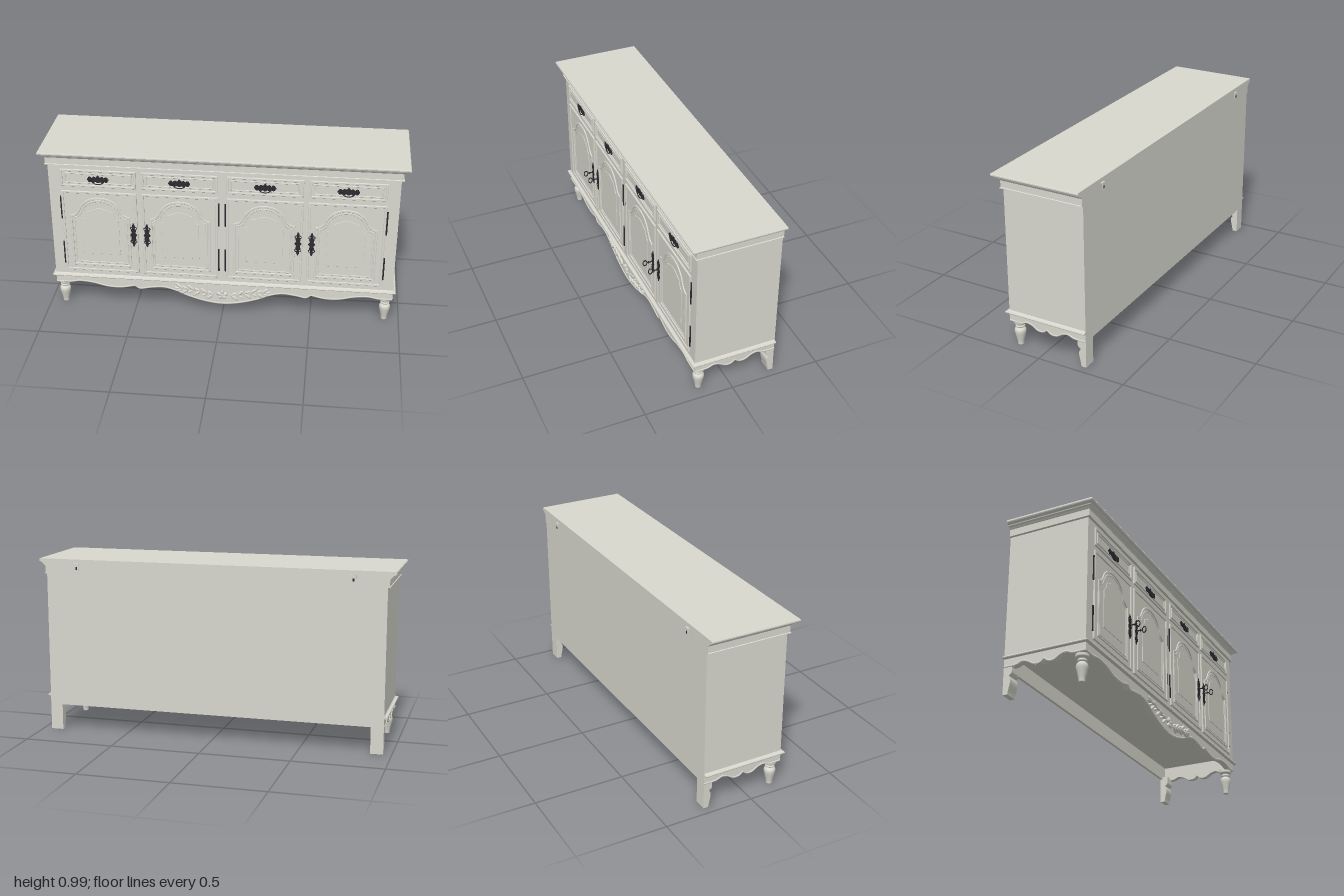
import * as THREE from 'three';

const paint = new THREE.MeshStandardMaterial({ color: 0xd8d8cf });
paint.name = 'greyPaint';
const iron = new THREE.MeshStandardMaterial({ color: 0x2b2b31 });
iron.name = 'darkIron';

const HALF = 0.955, FRONT = 0.202, BACK = -0.26, FLOOR = 0.23, BOARD = 0.03;

function add(parent, name, geo, mat, x = 0, y = 0, z = 0) {
  const m = new THREE.Mesh(geo, mat);
  m.name = name;
  m.position.set(x, y, z);
  parent.add(m);
  return m;
}

const box = (w, h, d) => new THREE.BoxGeometry(w, h, d);

// Stacked rectangles flush at the back; levels are [overhang, y] from bottom to top
function moulding(levels, capped) {
  const loops = levels.map(([o, y]) => [
    [-HALF - o, y, BACK], [-HALF - o, y, FRONT + o], [HALF + o, y, FRONT + o], [HALF + o, y, BACK]]);
  const pos = [];
  const quad = (a, b, c, d) => pos.push(...a, ...b, ...c, ...a, ...c, ...d);
  for (let l = 0; l < loops.length - 1; l++) {
    for (let i = 0; i < 4; i++) {
      const j = (i + 1) % 4;
      quad(loops[l][i], loops[l][j], loops[l + 1][j], loops[l + 1][i]);
    }
  }
  if (capped) {
    quad(...loops[loops.length - 1]);
    quad(...[...loops[0]].reverse());
  }
  const g = new THREE.BufferGeometry();
  g.setAttribute('position', new THREE.Float32BufferAttribute(pos, 3));
  g.computeVertexNormals();
  return g;
}

const extrude = (shape, depth, bevel = 0) => new THREE.ExtrudeGeometry(shape, {
  depth, curveSegments: 10, bevelEnabled: bevel > 0,
  bevelSize: bevel, bevelThickness: bevel, bevelOffset: -bevel, bevelSegments: 1 });

function rect(hw, y0, y1) {
  return new THREE.Shape([[-hw, y0], [hw, y0], [hw, y1], [-hw, y1]].map(p => new THREE.Vector2(...p)));
}

// Panel outline with shoulders and a raised ogee arch
function arch(hw, yb, ys, yt) {
  const s = new THREE.Shape();
  s.moveTo(-hw, yb);
  s.lineTo(hw, yb);
  s.lineTo(hw, ys);
  s.bezierCurveTo(hw * 0.82, ys + 0.006, hw * 0.76, ys + 0.02, hw * 0.68, ys + 0.05);
  s.bezierCurveTo(hw * 0.56, yt - 0.025, hw * 0.32, yt, 0, yt);
  s.bezierCurveTo(-hw * 0.32, yt, -hw * 0.56, yt - 0.025, -hw * 0.68, ys + 0.05);
  s.bezierCurveTo(-hw * 0.76, ys + 0.02, -hw * 0.82, ys + 0.006, -hw, ys);
  s.closePath();
  return s;
}

function ring(outer, inner, depth, bevel = 0.002) {
  outer.holes.push(inner);
  return extrude(outer, depth, bevel);
}

// Pointed ornamental plate with a rippled edge, along x
function scallop(len, wide) {
  const pts = [], n = 36;
  const half = t => wide * (1 - 0.75 * Math.abs(t)) * (0.8 + 0.2 * Math.cos(t * Math.PI * 5));
  for (let i = 0; i <= n; i++) { const t = i / n * 2 - 1; pts.push(new THREE.Vector2(t * len, -half(t))); }
  for (let i = n; i >= 0; i--) { const t = i / n * 2 - 1; pts.push(new THREE.Vector2(t * len, half(t))); }
  return extrude(new THREE.Shape(pts), 0.003);
}

// Board with a wavy lower edge, reaching up inside to the floor
function apron(pts) {
  const s = new THREE.Shape([...pts, new THREE.Vector2(pts[pts.length - 1].x, FLOOR), new THREE.Vector2(pts[0].x, FLOOR)]);
  return extrude(s, BOARD);
}
// Smooth runs that meet in sharp cusps
const wave = runs => runs.flatMap((run, i) => {
  const pts = new THREE.CatmullRomCurve3(run.map(([x, y]) => new THREE.Vector3(x, y, 0))).getPoints(36);
  return i ? pts.slice(1) : pts;
});
const bead = pts => new THREE.TubeGeometry(new THREE.CatmullRomCurve3(pts), 160, 0.005, 6);

function drawer(x) {
  const g = new THREE.Group();
  g.name = 'drawer';
  g.position.set(x, 0, FRONT);
  add(g, 'drawerFront', extrude(rect(0.208, 0.772, 0.875), 0.003), paint);
  add(g, 'drawerOuterBead', ring(rect(0.208, 0.772, 0.875), rect(0.196, 0.784, 0.863), 0.004), paint, 0, 0, 0.003);
  add(g, 'drawerInnerBead', ring(rect(0.186, 0.792, 0.855), rect(0.179, 0.799, 0.848), 0.003, 0.0015), paint, 0, 0, 0.003);
  // Pull with backplate, posts and hanging bail
  add(g, 'pullPlate', scallop(0.06, 0.026), iron, 0, 0.818, 0.003);
  const bail = add(g, 'pullBail', new THREE.TorusGeometry(0.036, 0.0035, 6, 20, Math.PI), iron, 0, 0.82, 0.009);
  bail.rotation.z = Math.PI;
  bail.scale.y = 0.8;
  for (const s of [-1, 1]) {
    add(g, 'pullPost', new THREE.SphereGeometry(0.006, 10, 8), iron, s * 0.036, 0.82, 0.007);
    for (const dy of [-0.007, 0.008]) {
      add(g, 'pullCurl', new THREE.TorusGeometry(0.007, 0.003, 6, 12), iron, s * 0.045, 0.818 + dy, 0.005);
    }
  }
  return g;
}

// side: direction of the lock edge (+1 or -1)
function door(x, side) {
  const g = new THREE.Group();
  g.name = 'door';
  g.position.set(x, 0, FRONT);
  add(g, 'doorSlab', extrude(rect(0.21, 0.238, 0.743), 0.003), paint);
  add(g, 'doorEdgeBead', ring(rect(0.21, 0.238, 0.743), rect(0.197, 0.251, 0.73), 0.004), paint, 0, 0, 0.003);
  add(g, 'archMoulding', ring(arch(0.168, 0.272, 0.592, 0.708), arch(0.156, 0.284, 0.582, 0.695), 0.004), paint, 0, 0, 0.003);
  add(g, 'archInnerBead', ring(arch(0.151, 0.289, 0.578, 0.69), arch(0.142, 0.298, 0.572, 0.68), 0.002, 0.0015), paint, 0, 0, 0.002);
  add(g, 'raisedPanel', extrude(arch(0.104, 0.35, 0.57, 0.64), 0.003, 0.001), paint, 0, 0, 0.002);
  for (const y of [0.637, 0.35]) {
    add(g, 'hinge', new THREE.CylinderGeometry(0.005, 0.005, 0.14, 8), iron, -side * 0.214, y, 0.002);
  }
  // Lock plate and key
  const lx = side * 0.186;
  const plate = add(g, 'lockPlate', scallop(0.072, 0.02), iron, lx, 0.485, 0.007);
  plate.rotation.z = Math.PI / 2;
  for (const dy of [-0.042, 0.042]) for (const s of [-1, 1]) {
    add(g, 'lockCurl', new THREE.TorusGeometry(0.008, 0.0028, 6, 12), iron, lx + s * 0.009, 0.485 + dy, 0.008);
  }
  const shaft = add(g, 'keyShaft', new THREE.CylinderGeometry(0.0035, 0.0035, 0.042, 8), iron, lx, 0.492, 0.023);
  shaft.rotation.x = Math.PI / 2;
  const collar = add(g, 'keyCollar', new THREE.CylinderGeometry(0.006, 0.006, 0.005, 10), iron, lx, 0.492, 0.034);
  collar.rotation.x = Math.PI / 2;
  const bow = add(g, 'keyBow', new THREE.TorusGeometry(0.017, 0.0035, 6, 20), iron, lx, 0.492, 0.055);
  bow.rotation.y = Math.PI / 2;
  bow.scale.x = 0.65;
  return g;
}

function carving() {
  const g = new THREE.Group();
  g.name = 'leafCarving';
  const ball = new THREE.SphereGeometry(1, 10, 8);
  const leaf = (name, x, y, len, wide, a) => {
    const m = add(g, name, ball, paint, x, y, FRONT + 0.004);
    m.scale.set(len, wide, 0.008);
    m.rotation.z = a;
  };
  for (const s of [-1, 1]) {
    const stem = new THREE.CatmullRomCurve3([[0.02, 0.122], [0.08, 0.124], [0.15, 0.143], [0.21, 0.147], [0.26, 0.153]]
      .map(([x, y]) => new THREE.Vector3(s * x, y, FRONT + 0.003)));
    add(g, 'stem', new THREE.TubeGeometry(stem, 24, 0.003, 6), paint);
    for (let i = 0; i < 6; i++) {
      const p = stem.getPoint(0.15 + i * 0.14), up = i % 2 ? 1 : -1;
      leaf('leaf', p.x + s * 0.012, p.y + up * 0.014, 0.028, 0.009, s * up * 0.7);
      leaf('smallLeaf', p.x + s * 0.012, p.y - up * 0.01, 0.021, 0.007, -s * up * 0.5);
    }
    leaf('tipLeaf', s * 0.258, 0.152, 0.018, 0.006, s * 0.2);
  }
  for (let i = 0; i < 5; i++) {
    const a = Math.PI / 2 + i * Math.PI * 0.4;
    leaf('petal', Math.cos(a) * 0.018, 0.122 + Math.sin(a) * 0.018, 0.016, 0.01, a);
  }
  leaf('flowerHeart', 0, 0.122, 0.009, 0.009, 0);
  return g;
}

export function createModel() {
  const root = new THREE.Group();
  root.name = 'sideboard';

  // Carcass and mouldings
  add(root, 'carcass', box(HALF * 2, 0.91 - FLOOR, FRONT - BACK), paint, 0, (0.91 + FLOOR) / 2, (FRONT + BACK) / 2);
  add(root, 'backPanel', box(HALF * 2, FLOOR - 0.147, 0.015), paint, 0, (FLOOR + 0.147) / 2, BACK + 0.0075);
  add(root, 'corniceTop', moulding([[0.014, 0.9], [0.014, 0.905], [0.01, 0.907], [0.01, 0.943], [0.013, 0.946],
    [0.018, 0.953], [0.026, 0.958], [0.028, 0.963], [0.036, 0.966], [0.042, 0.969], [0.045, 0.974], [0.045, 0.98], [0.042, 0.985]], true), paint);
  add(root, 'baseMoulding', moulding([[0, 0.194], [0.015, 0.196], [0.017, 0.2], [0.015, 0.205], [0.004, 0.207], [0, 0.212]], false), paint);

  // Front apron
  const outer = [[-0.955, 0.147], [-0.88, 0.147], [-0.82, 0.157], [-0.74, 0.15], [-0.66, 0.131], [-0.58, 0.129], [-0.5, 0.146]];
  const centre = [[-0.5, 0.146], [-0.475, 0.128], [-0.42, 0.137], [-0.34, 0.146], [-0.27, 0.13], [-0.2, 0.1], [-0.1, 0.07]];
  const mirror = run => run.map(([x, y]) => [-x, y]).reverse();
  const frontLine = wave([outer, [...centre, [0, 0.058], ...mirror(centre)], mirror(outer)]);
  add(root, 'frontApron', apron(frontLine), paint, 0, 0, FRONT - BOARD);
  add(root, 'frontApronBead', bead(frontLine.map(p => new THREE.Vector3(p.x, p.y + 0.005, FRONT))), paint);

  // Side aprons, drawn along -z
  const sideLine = wave([
    [[-0.2, 0.147], [-0.13, 0.148], [-0.095, 0.16], [-0.065, 0.154], [-0.025, 0.132], [0.005, 0.133], [0.029, 0.15]],
    [[0.029, 0.15], [0.052, 0.133], [0.085, 0.132], [0.125, 0.154], [0.155, 0.16], [0.19, 0.148], [0.26, 0.147]]]);
  for (const s of [-1, 1]) {
    const side = add(root, 'sideApron', apron(sideLine), paint, s > 0 ? HALF - BOARD : -HALF);
    side.rotation.y = Math.PI / 2;
    add(root, 'sideApronBead', bead(sideLine.map(p => new THREE.Vector3(s * HALF, p.y + 0.005, -p.x))), paint);
  }

  // Turned front legs and bracket back legs
  const turned = new THREE.SplineCurve([[0.016, 0], [0.018, 0.02], [0.025, 0.05], [0.031, 0.078], [0.029, 0.094],
    [0.02, 0.104], [0.024, 0.108], [0.026, 0.114], [0.022, 0.119], [0.024, 0.124], [0.033, 0.13], [0.035, 0.138],
    [0.034, 0.16]].map(p => new THREE.Vector2(...p))).getPoints(40);
  const legGeo = new THREE.LatheGeometry([new THREE.Vector2(0, 0), ...turned, new THREE.Vector2(0, 0.16)], 24);
  const bracket = new THREE.Shape();
  bracket.moveTo(0.26, 0);
  bracket.lineTo(0.26, 0.16);
  bracket.lineTo(0.212, 0.16);
  bracket.lineTo(0.212, 0.122);
  bracket.quadraticCurveTo(0.213, 0.108, 0.224, 0.106);
  bracket.quadraticCurveTo(0.232, 0.098, 0.222, 0.09);
  bracket.bezierCurveTo(0.212, 0.065, 0.228, 0.04, 0.232, 0);
  const bracketGeo = extrude(bracket, 0.07);
  for (const s of [-1, 1]) {
    add(root, 'frontLeg', legGeo, paint, s * 0.918, 0, 0.164);
    const leg = add(root, 'backLeg', bracketGeo, paint, s > 0 ? HALF - 0.07 : -HALF);
    leg.rotation.y = Math.PI / 2;
    // Wall hangers
    add(root, 'hangerTop', box(0.028, 0.004, 0.01), paint, s * 0.775, 0.96, BACK - 0.004);
    add(root, 'hangerPlate', box(0.028, 0.036, 0.003), paint, s * 0.775, 0.944, BACK - 0.008);
    add(root, 'hangerSlot', box(0.01, 0.016, 0.002), iron, s * 0.775, 0.937, BACK - 0.009);
  }

  // Drawers and paired doors
  for (const [x, side] of [[-0.68, 1], [-0.233, -1], [0.233, 1], [0.68, -1]]) {
    root.add(drawer(x), door(x, side));
  }
  root.add(carving());
  return root;
}
